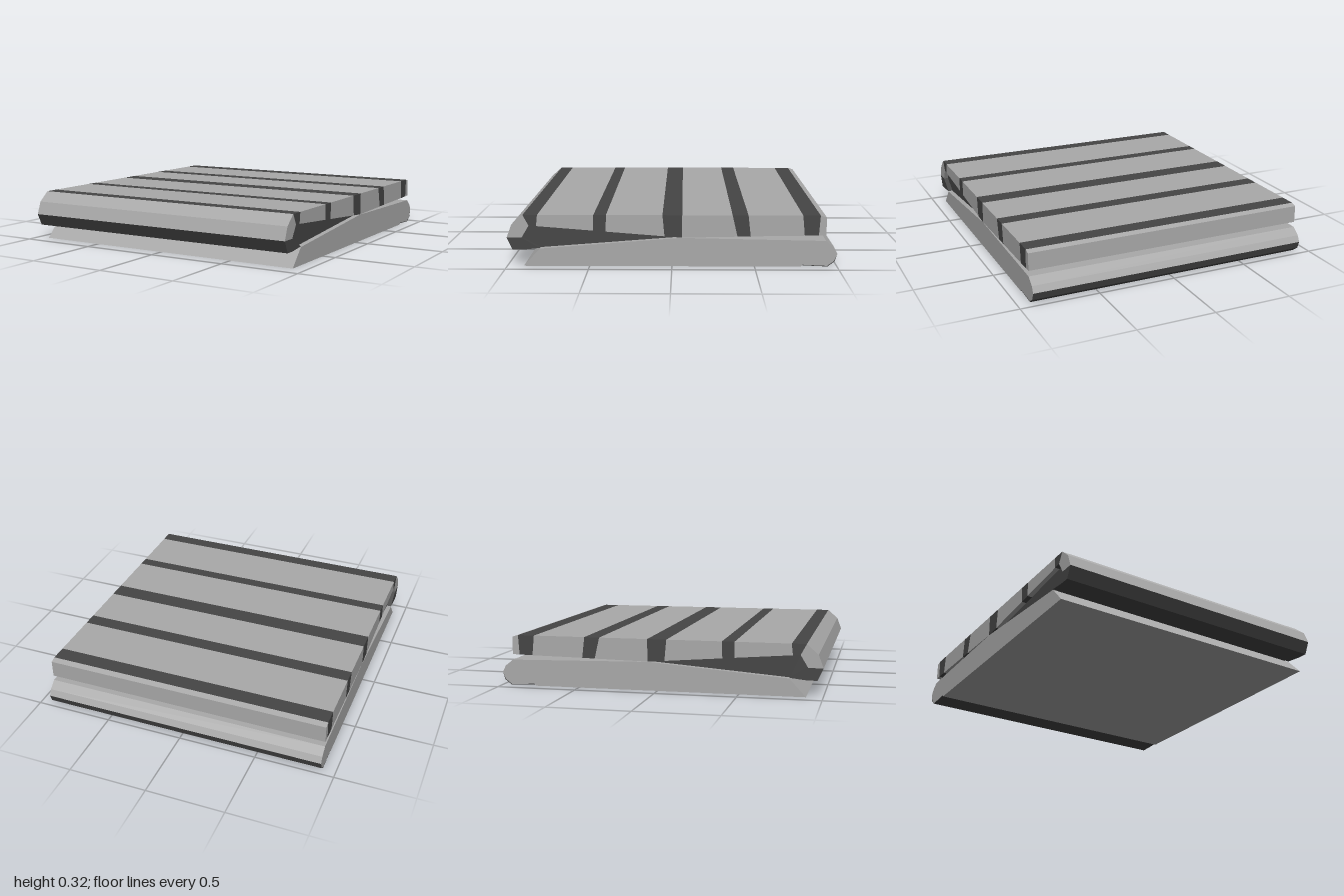
import * as THREE from 'three';

const WIDTH = 1.836;

export function createModel() {
  const light = new THREE.MeshStandardMaterial({ name: 'lightGrey', color: 0xa9a9a9 });
  const dark = new THREE.MeshStandardMaterial({ name: 'darkGrey', color: 0x454545 });
  const model = new THREE.Group();
  model.name = 'foldedMat';

  // Extrudes a [z, y] side profile across the width
  function prism(name, profile, material, width = WIDTH) {
    const shape = new THREE.Shape(profile.map(([z, y]) => new THREE.Vector2(z, y)));
    const geometry = new THREE.ExtrudeGeometry(shape, { depth: width, bevelEnabled: false });
    geometry.translate(0, 0, -width / 2).rotateY(-Math.PI / 2);
    const mesh = new THREE.Mesh(geometry, material);
    mesh.name = name;
    model.add(mesh);
  }

  // Bottom layer with a slanted front and a rounded back fold
  prism('bottomLayer', [
    [0.9, 0], [0.8, 0.108], [-0.06, 0.177], [-0.12, 0.175], [-0.93, 0.16],
    [-0.98, 0.12], [-1, 0.08], [-0.98, 0.035], [-0.94, 0.005], [-0.79, 0.012], [-0.78, 0],
  ], light);

  // Thin dark underside of the back fold
  prism('backFoldUnderside', [
    [-1, 0.08], [-0.98, 0.035], [-0.94, 0.005], [-0.79, 0.012],
    [-0.79, 0.008], [-0.942, 0.001], [-0.984, 0.033],
  ], dark);

  // Front fold: light upper half, dark lower half
  prism('frontFoldTop', [
    [0.9, 0.316], [0.97, 0.255], [1, 0.175], [0.91, 0.175], [0.865, 0.25],
  ], light);
  prism('frontFoldBottom', [
    [1, 0.175], [0.965, 0.1], [0.9, 0.101], [0.8, 0.112], [0.91, 0.175],
  ], dark);

  // Dark inner layer, set in a little from both sides
  prism('innerLayer', [
    [0.912, 0.175], [0.8, 0.11], [-0.06, 0.178], [0.865, 0.252],
  ], dark, WIDTH - 0.06);

  // Top layer, cut into alternating stripes: [top z, bottom z, bottom y]
  const cuts = [
    [0.9, 0.865, 0.25], [0.812, 0.82, 0.247], [0.473, 0.475, 0.22], [0.397, 0.4, 0.214],
    [0.057, 0.045, 0.186], [-0.062, -0.06, 0.178], [-0.365, -0.395, 0.185], [-0.46, -0.475, 0.187],
    [-0.788, -0.8, 0.192], [-0.893, -0.885, 0.194], [-0.93, -0.93, 0.195],
  ];
  for (let i = 0; i < cuts.length - 1; i++) {
    const [t0, b0, y0] = cuts[i];
    const [t1, b1, y1] = cuts[i + 1];
    const isStripe = i % 2 === 0;
    const isEnd = i === cuts.length - 2;
    prism(isStripe ? 'darkStripe' : 'lightPanel',
      [[t0, 0.316], [b0, y0], [b1, y1], [t1, isEnd ? 0.305 : 0.316]],
      isStripe ? dark : light);
  }

  return model;
}
